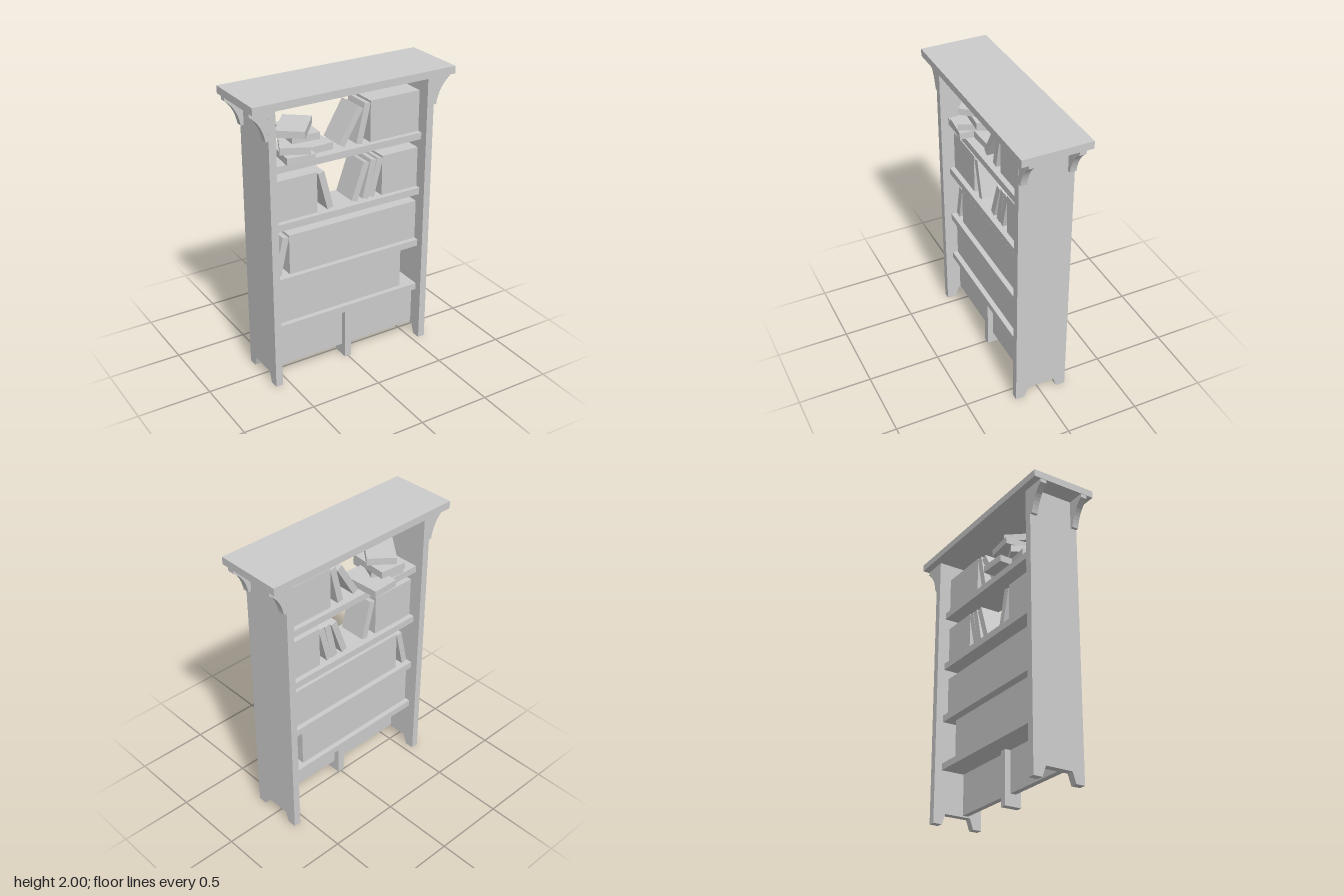
import * as THREE from 'three';

const material = new THREE.MeshStandardMaterial({ color: 0xcccccc, flatShading: true });

export function createModel() {
  const model = new THREE.Group();
  model.name = 'bookcase';

  const add = (name, geometry, x = 0, y = 0, z = 0) => {
    const mesh = new THREE.Mesh(geometry, material);
    mesh.name = name;
    mesh.position.set(x, y, z);
    model.add(mesh);
    return mesh;
  };

  // Box given by its limits on each axis
  const block = (name, x0, x1, y0, y1, z0, z1) =>
    add(name, new THREE.BoxGeometry(x1 - x0, y1 - y0, z1 - z0),
      (x0 + x1) / 2, (y0 + y1) / 2, (z0 + z1) / 2);

  block('topBoard', -0.725, 0.725, 1.95, 2, -0.23, 0.23);

  // Side boards with a notch between the feet
  const sideShape = new THREE.Shape([
    [-0.183, 0], [-0.12, 0], [-0.095, 0.073], [0.095, 0.073],
    [0.12, 0], [0.183, 0], [0.183, 1.95], [-0.183, 1.95],
  ].map(([z, y]) => new THREE.Vector2(z, y)));
  const sideGeometry = new THREE.ExtrudeGeometry(sideShape, { depth: 0.05, bevelEnabled: false });
  sideGeometry.translate(0, 0, -0.025).rotateY(Math.PI / 2);

  // Curved bracket profile under the top board
  const bracketShape = new THREE.Shape();
  bracketShape.moveTo(0.6, 1.75);
  bracketShape.lineTo(0.62, 1.75);
  bracketShape.quadraticCurveTo(0.638, 1.865, 0.722, 1.925);
  bracketShape.lineTo(0.722, 1.95);
  bracketShape.lineTo(0.6, 1.95);
  bracketShape.closePath();
  const bracketGeometry = new THREE.ExtrudeGeometry(bracketShape,
    { depth: 0.045, bevelEnabled: false, curveSegments: 8 });
  bracketGeometry.translate(0, 0, -0.0225);

  for (const [side, sign] of [['left', 1], ['right', -1]]) {
    add(side + 'SideBoard', sideGeometry, sign * 0.575);
    for (const [end, z] of [['Front', 0.16], ['Back', -0.16]]) {
      const bracket = add(side + end + 'Bracket', bracketGeometry, 0, 0, z);
      if (sign < 0) bracket.rotation.y = Math.PI;
    }
  }

  // Shelves, lower panel and middle post
  for (const [y0, y1] of [[0.37, 0.417], [0.715, 0.763], [1.106, 1.154], [1.503, 1.55]]) {
    block('shelf', -0.55, 0.55, y0, y1, -0.13, 0.13);
  }
  block('lowerPanel', -0.55, 0.55, 0.083, 0.37, 0.04, 0.08);
  block('middlePost', -0.025, 0.022, 0, 0.37, 0, 0.12);

  // Rows of upright books
  for (const [x0, x1, y] of [
    [-0.54, 0.435, 0.417], [-0.43, 0.55, 0.763],
    [-0.545, -0.22, 1.154], [0.27, 0.55, 1.154], [0.175, 0.55, 1.55],
  ]) block('bookRow', x0, x1, y, y + 0.28, -0.095, 0.095);

  // Leaning books: centre x, centre y, tilt
  const bookGeometry = new THREE.BoxGeometry(0.045, 0.27, 0.19);
  for (const [x, y, tilt] of [
    [-0.484, 0.902, -0.23],
    [-0.156, 1.292, 0.25], [0.103, 1.29, -0.34], [0.173, 1.293, -0.23], [0.221, 1.293, -0.25],
    [0.03, 1.685, -0.535], [0.122, 1.688, -0.23],
  ]) add('leaningBook', bookGeometry, x, y, 0).rotation.z = tilt;

  // Loose pile on the top shelf: centre x, level, centre z, turn
  const flatGeometry = new THREE.BoxGeometry(0.19, 0.047, 0.28);
  for (const [x, level, z, turn] of [
    [-0.352, 0, 0.02, -0.1], [-0.185, 0, -0.07, 0.04],
    [-0.33, 1, 0, -0.45], [-0.275, 2, -0.06, -0.08], [-0.318, 3, -0.02, -0.68],
  ]) add('flatBook', flatGeometry, x, 1.574 + level * 0.049, z).rotation.y = turn;

  return model;
}
